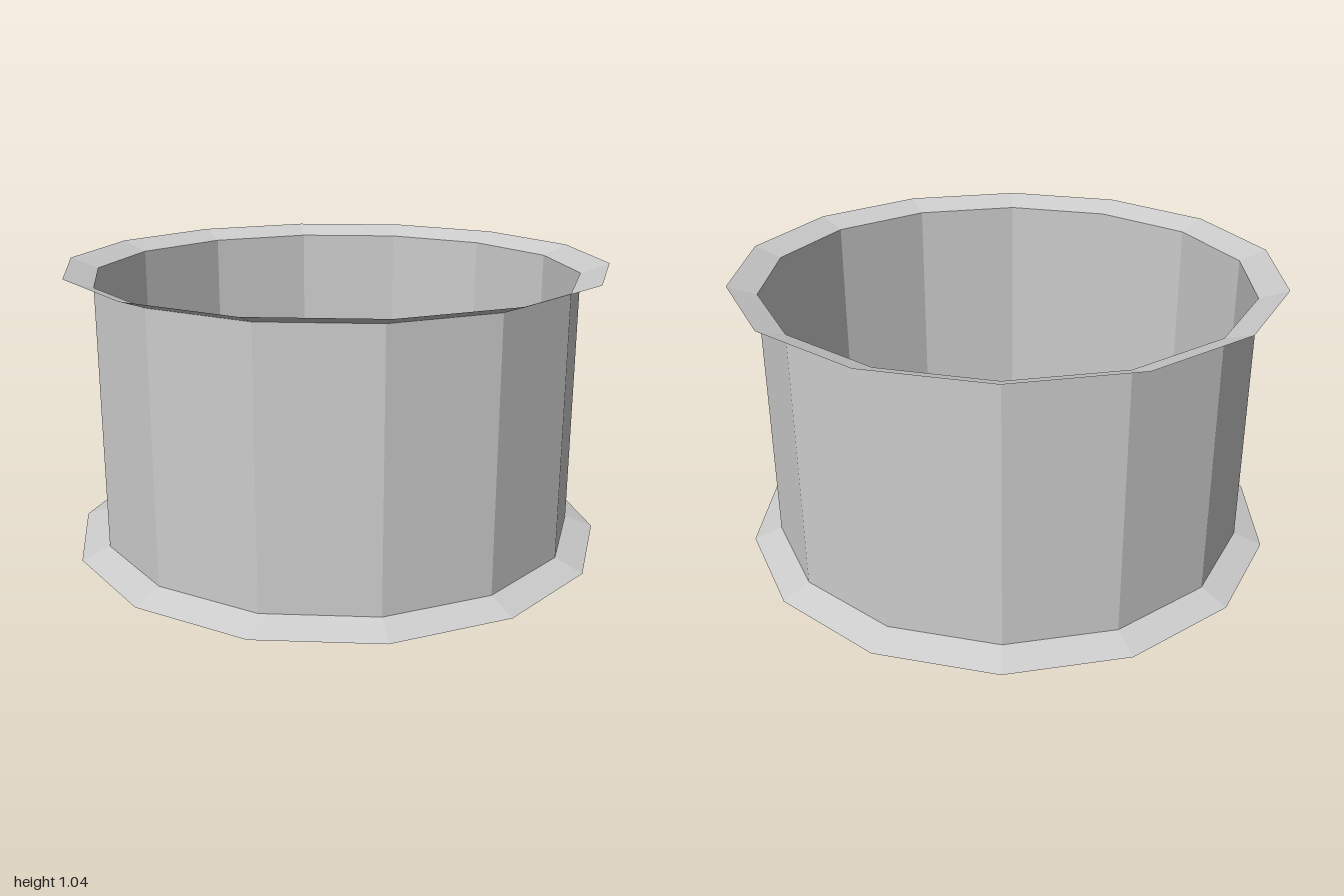
import * as THREE from 'three';

const SIDES = 14;
const STEP = (Math.PI * 2) / SIDES;

const material = new THREE.MeshStandardMaterial({
  color: 0xcccccc, flatShading: true, side: THREE.DoubleSide,
});

// Faceted surface of revolution from [radius, height] pairs
function ring(name, profile, start = 0, segments = SIDES) {
  const points = profile.map(([r, y]) => new THREE.Vector2(r, y));
  const lathe = new THREE.LatheGeometry(points, segments, start, segments * STEP);
  const geometry = lathe.toNonIndexed();
  geometry.computeVertexNormals();
  const mesh = new THREE.Mesh(geometry, material);
  mesh.name = name;
  return mesh;
}

export function createModel() {
  const model = new THREE.Group();
  model.name = 'wheelRim';

  // Barrel with a flared lip at each end
  model.add(ring('lowerLip', [[1, 0], [0.897, 0.04]]));
  model.add(ring('barrel', [[0.897, 0.04], [0.897, 1]]));
  model.add(ring('upperLip', [[0.897, 1], [1, 1.037]]));

  // Disc: sloping rim joined to the barrel's lower edge
  model.add(ring('discRim', [[0.75, 0.22], [0.81, 0.19], [0.897, 0.04]]));

  // Sloping bridges fill every second facet and leave vent slots between
  const bridges = new THREE.Group();
  bridges.name = 'ventBridges';
  for (let i = 0; i < SIDES; i += 2) {
    bridges.add(ring('ventBridge', [[0.664, 0.15], [0.75, 0.22]], i * STEP, 1));
  }
  model.add(bridges);

  // Lowered inner disc and raised hub with a round centre hole
  model.add(ring('innerDisc', [[0.505, 0.12], [0.6, 0.12], [0.664, 0.15]]));
  model.add(ring('hub', [[0.195, 0.235], [0.42, 0.235], [0.475, 0.21], [0.505, 0.12]]));

  return model;
}
